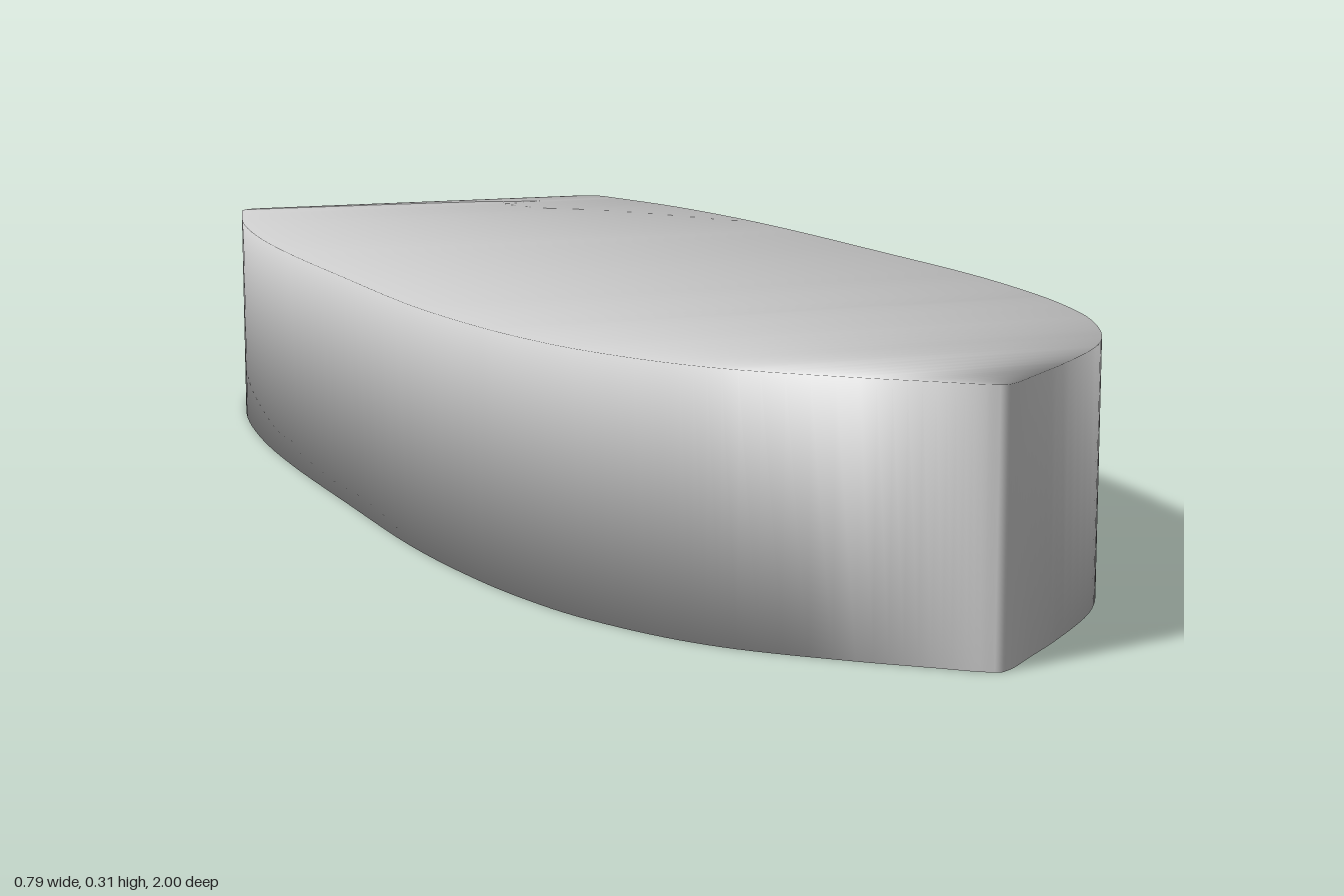
import * as THREE from 'three';

const HEIGHT = 0.307;

// Half outline seen from above, stern to bow: [half width, z]
const OUTLINE = [
  [0.275, -1], [0.297, -0.995], [0.31, -0.98], [0.32, -0.945], [0.357, -0.79],
  [0.382, -0.6], [0.393, -0.4], [0.395, -0.1], [0.393, 0.2], [0.374, 0.4],
  [0.356, 0.5], [0.329, 0.6], [0.276, 0.72], [0.222, 0.8], [0.12, 0.9],
  [0.055, 0.955], [0.02, 0.985], [0.003, 0.995],
];

// Loft four-cornered cross-sections along z, sharing corners for soft shading
function hullGeometry(stations = 90) {
  const curve = new THREE.CatmullRomCurve3(
    OUTLINE.map(([w, z]) => new THREE.Vector3(w, 0, z)), false, 'centripetal');
  const positions = [];
  const index = [];
  for (let i = 0; i <= stations; i++) {
    const { x: w, z } = curve.getPoint(i / stations);
    positions.push(-w, 0, z, w, 0, z, w, HEIGHT, z, -w, HEIGHT, z);
    if (i === stations) break;
    for (let k = 0; k < 4; k++) {
      const a = i * 4 + k, b = i * 4 + (k + 1) % 4;
      index.push(a, b, b + 4, a, b + 4, a + 4);
    }
  }
  // Transom and stem close the two ends
  const e = stations * 4;
  index.push(0, 2, 1, 0, 3, 2, e, e + 1, e + 2, e, e + 2, e + 3);

  const geometry = new THREE.BufferGeometry();
  geometry.setAttribute('position', new THREE.Float32BufferAttribute(positions, 3));
  geometry.setIndex(index);
  geometry.computeVertexNormals();
  return geometry;
}

export function createModel() {
  const group = new THREE.Group();
  group.name = 'boat';
  const hull = new THREE.Mesh(
    hullGeometry(), new THREE.MeshStandardMaterial({ color: 0xcccccc }));
  hull.name = 'hull';
  group.add(hull);
  return group;
}
